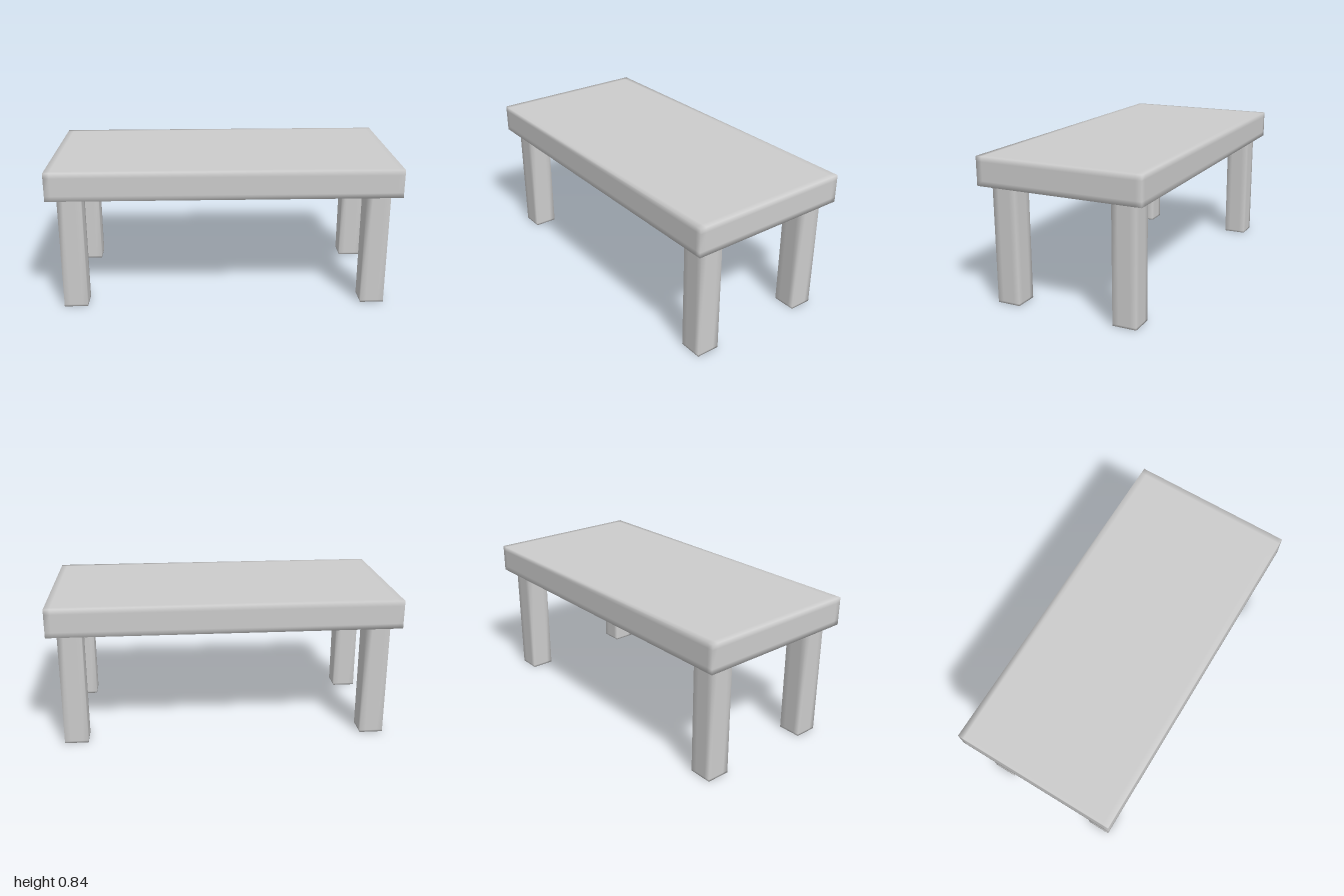
import * as THREE from 'three';
import { mergeVertices } from 'three/addons/utils/BufferGeometryUtils.js';

// Square-cornered box with support loops near its edges and smooth normals
function softBox(width, height, depth, insetXZ, insetY) {
  const box = new THREE.BoxGeometry(width, height, depth, 3, 3, 3);
  const pos = box.attributes.position;
  const slide = (v, size, inset) =>
    Math.abs(v) < size * 0.4 ? Math.sign(v) * (size / 2 - inset) : v;
  for (let i = 0; i < pos.count; i++) {
    pos.setXYZ(i,
      slide(pos.getX(i), width, insetXZ),
      slide(pos.getY(i), height, insetY),
      slide(pos.getZ(i), depth, insetXZ));
  }
  box.deleteAttribute('normal');
  box.deleteAttribute('uv');
  const smooth = mergeVertices(box);
  smooth.computeVertexNormals();
  return smooth;
}

export function createModel() {
  const table = new THREE.Group();
  table.name = 'table';
  const grey = new THREE.MeshStandardMaterial({ color: 0xcccccc });
  grey.name = 'light grey';

  // Thick slab top
  const top = new THREE.Mesh(softBox(2, 0.163, 0.966, 0.035, 0.03), grey);
  top.name = 'tableTop';
  top.position.y = 0.7565;
  table.add(top);

  // Four square legs, set in from the corners
  const legGeometry = softBox(0.137, 0.677, 0.137, 0.035, 0.012);
  for (const [sideName, x] of [['Left', 0.8765], ['Right', -0.8765]]) {
    for (const [endName, z] of [['front', 0.3565], ['back', -0.3565]]) {
      const leg = new THREE.Mesh(legGeometry, grey);
      leg.name = `${endName}${sideName}Leg`;
      leg.position.set(x, 0.3385, z);
      table.add(leg);
    }
  }
  return table;
}
